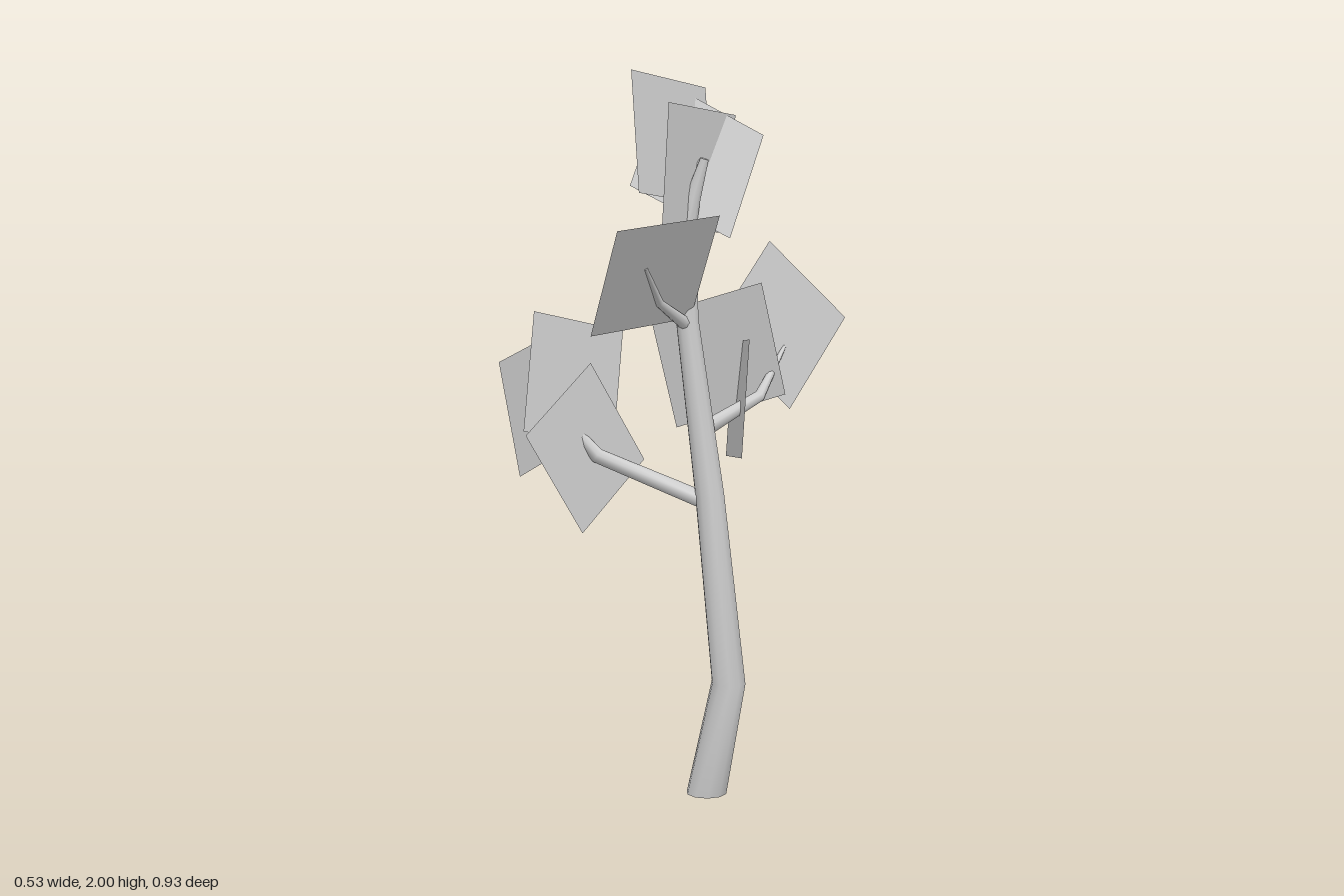
import * as THREE from 'three';

const grey = new THREE.MeshStandardMaterial({ color: 0xcccccc });
grey.name = 'paleGrey';
grey.side = THREE.DoubleSide;

// Tapering limb through points [x, y, z, radius], closed at both ends
function limb(name, points, sides) {
  const centres = points.map(p => new THREE.Vector3(p[0], p[1], p[2]));
  const last = points.length - 1;
  const pos = [], index = [];
  const up = new THREE.Vector3(0, 1, 0);
  centres.forEach((c, i) => {
    const dir = new THREE.Vector3();
    if (i < last) dir.add(centres[i + 1].clone().sub(c).normalize());
    if (i > 0) dir.add(c.clone().sub(centres[i - 1]).normalize());
    dir.normalize();
    if (c.y === 0) dir.copy(up); // flat on the ground
    const turn = new THREE.Quaternion().setFromUnitVectors(up, dir);
    for (let s = 0; s < sides; s++) {
      const a = s / sides * Math.PI * 2;
      const v = new THREE.Vector3(Math.sin(a), 0, Math.cos(a));
      v.multiplyScalar(points[i][3]).applyQuaternion(turn).add(c);
      pos.push(v.x, v.y, v.z);
    }
  });
  for (let i = 0; i < last; i++) {
    for (let s = 0; s < sides; s++) {
      const a = i * sides + s, b = i * sides + (s + 1) % sides;
      index.push(a, b, b + sides, a, b + sides, a + sides);
    }
  }
  // End caps use their own vertices to keep the rims sharp
  for (const [ring, flip] of [[0, true], [last, false]]) {
    const start = pos.length / 3;
    pos.push(...pos.slice(ring * sides * 3, (ring + 1) * sides * 3));
    for (let s = 1; s < sides - 1; s++) {
      if (flip) index.push(start, start + s + 1, start + s);
      else index.push(start, start + s, start + s + 1);
    }
  }
  return finish(name, pos, index);
}

// Square leaf plane from one corner and its two neighbours
function leaf(name, corner, next, prev) {
  const opposite = corner.map((c, i) => next[i] + prev[i] - c);
  return finish(name, [...corner, ...next, ...opposite, ...prev], [0, 1, 2, 0, 2, 3]);
}

function finish(name, pos, index) {
  const g = new THREE.BufferGeometry();
  g.setAttribute('position', new THREE.Float32BufferAttribute(pos, 3));
  g.setIndex(index);
  g.computeVertexNormals();
  const mesh = new THREE.Mesh(g, grey);
  mesh.name = name;
  return mesh;
}

export function createModel() {
  const tree = new THREE.Group();
  tree.name = 'tree';

  // Bent trunk and its branches
  tree.add(
    limb('trunk', [
      [0.118, 0, 0.037, 0.057], [0.193, 0.33, 0.042, 0.048], [0.135, 0.85, 0.05, 0.041],
      [0.07, 1.33, 0.064, 0.032], [0.07, 1.57, 0.071, 0.028],
      [0.085, 1.66, 0.06, 0.022], [0.118, 1.765, 0.053, 0.012],
    ], 10),
    limb('rightBranch', [
      [0.13, 0.83, 0.05, 0.024], [-0.14, 0.955, 0.195, 0.021], [-0.2, 1.04, 0.235, 0.012],
      [-0.263, 1.11, 0.268, 0.006],
    ], 8),
    limb('frontBranch', [
      [0.075, 1.31, 0.06, 0.02], [0.07, 1.385, 0.2, 0.012], [0.1, 1.485, 0.308, 0.005],
    ], 8),
    limb('backBranch', [
      [0.115, 1.03, 0.05, 0.022], [0.19, 1.11, -0.12, 0.016], [0.185, 1.235, -0.26, 0.005],
    ], 8),
    limb('topTwig', [
      [0.105, 1.71, 0.057, 0.012], [0.09, 1.745, 0.035, 0.009], [0.067, 1.78, 0.01, 0.006],
    ], 6),
  );

  // Leaf planes, grouped around the end of each limb
  const leaves = {
    crownLeaf: [
      [[0.002, 2, 0.23], [0.025, 1.955, -0.095], [0.06, 1.68, 0.28]],
      [[0.084, 1.915, 0.175], [0.085, 1.88, -0.155], [0.086, 1.59, 0.21]],
      [[0.152, 1.825, -0.195], [0.16, 1.55, -0.01], [-0.025, 1.97, 0.025]],
    ],
    frontLeaf: [
      [[0.12, 1.59, 0.465], [0.232, 1.62, 0.155], [-0.03, 1.305, 0.375]],
    ],
    backLeaf: [
      [[0.137, 1.53, -0.255], [0.265, 1.305, -0.465], [0.082, 1.285, -0.04]],
      [[0.23, 1.28, 0], [0.018, 1.235, -0.255], [0.235, 0.96, 0.045]],
      [[0.2, 1.425, -0.11], [0.213, 1.105, -0.22], [-0.02, 1.34, 0.11]],
    ],
    rightLeaf: [
      [[-0.183, 1.205, 0.163], [-0.12, 0.92, -0.005], [-0.198, 1.035, 0.44]],
      [[-0.265, 1.355, 0.31], [-0.188, 1.28, 0], [-0.232, 1.04, 0.405]],
      [[-0.27, 1.23, 0.46], [-0.255, 1.31, 0.15], [-0.265, 0.91, 0.38]],
    ],
  };
  for (const [name, list] of Object.entries(leaves)) {
    list.forEach((corners, i) => tree.add(leaf(name + (i + 1), ...corners)));
  }
  return tree;
}
